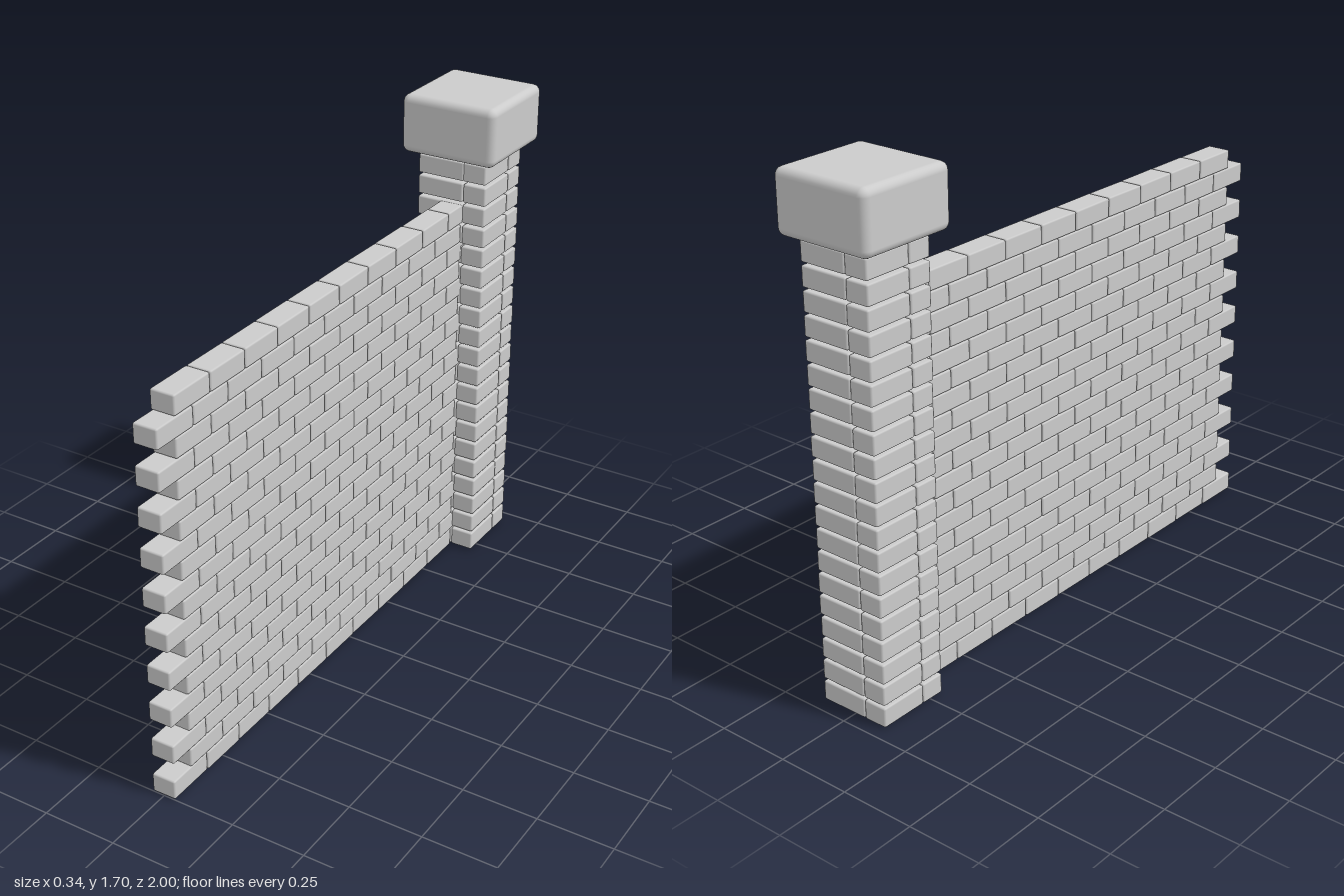
import * as THREE from 'three';
import { RoundedBoxGeometry } from 'three/addons/geometries/RoundedBoxGeometry.js';

const material = new THREE.MeshStandardMaterial({ color: 0xcccccc });

// Small seeded generator giving values in -1..1
function makeJitter(seed) {
  return () => {
    seed = (seed * 16807) % 2147483647;
    return (seed / 2147483647) * 2 - 1;
  };
}

export function createModel() {
  const model = new THREE.Group();
  model.name = 'brickWallWithPillar';
  const jitter = makeJitter(4711);

  const brickLength = 0.17, brickWidth = 0.083, brickHeight = 0.066;
  const brick = new RoundedBoxGeometry(brickWidth, brickHeight, brickLength - 0.001, 1, 0.006);

  function addBrick(parent, name, x, y, z, turn = 0) {
    const mesh = new THREE.Mesh(brick, material);
    mesh.name = name;
    mesh.position.set(x + jitter() * 0.001, y, z);
    mesh.rotation.set(jitter() * 0.004, turn + jitter() * 0.006, jitter() * 0.006);
    parent.add(mesh);
  }

  // Wall in running bond; odd courses step back by half a brick
  const wall = new THREE.Group();
  wall.name = 'wall';
  const wallPitch = 0.0667;
  for (let row = 0; row < 20; row++) {
    const start = row % 2 ? 0.915 : 1;
    for (let i = 0; i < 10; i++) {
      addBrick(wall, 'wallBrick', 0, 0.0345 + row * wallPitch, start - brickLength * (i + 0.5));
    }
  }
  model.add(wall);

  // Pillar: four bricks per course laid as a pinwheel, top course set into the cap
  const pillar = new THREE.Group();
  pillar.name = 'pillar';
  pillar.position.z = -0.827;
  const long = 0.042, out = 0.085;
  for (let row = 0; row < 21; row++) {
    const y = 0.037 + row * 0.0745;
    addBrick(pillar, 'pillarBrick', -long, y, out, Math.PI / 2);
    addBrick(pillar, 'pillarBrick', out, y, long);
    addBrick(pillar, 'pillarBrick', long, y, -out, Math.PI / 2);
    addBrick(pillar, 'pillarBrick', -out, y, -long);
  }
  model.add(pillar);

  // Rounded cap stone
  const cap = new THREE.Mesh(new RoundedBoxGeometry(0.345, 0.2, 0.345, 3, 0.026), material);
  cap.name = 'capStone';
  cap.position.set(0, 1.597, -0.8275);
  model.add(cap);

  return model;
}
